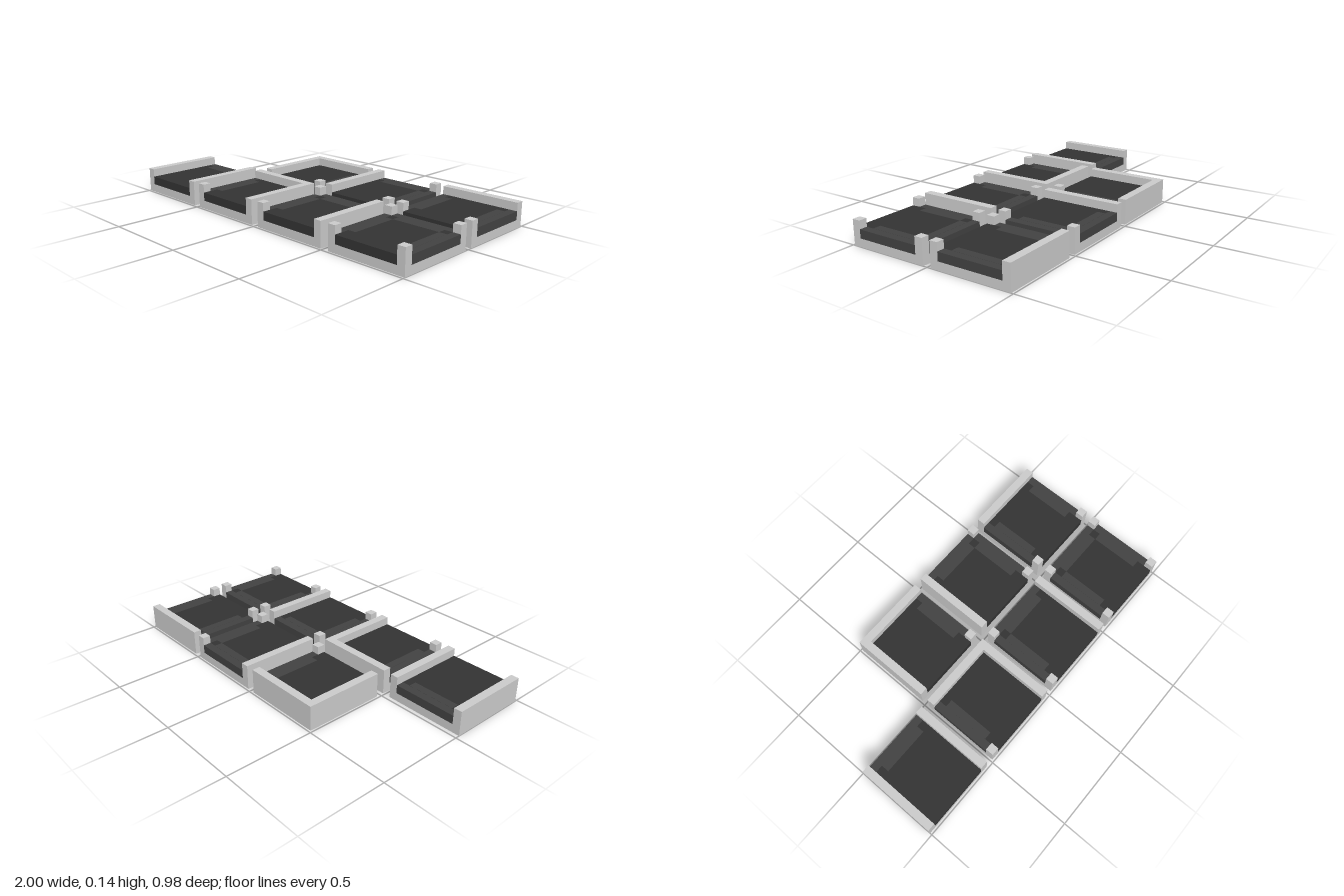
import * as THREE from 'three';

const SIZE = 0.464;        // tile side
const PITCH = 0.512;       // spacing between tile centres
const WALL = 0.046;        // wall thickness
const BASE_H = 0.047;      // grey base height
const FLOOR_H = 0.095;     // top of dark floor
const WALL_H = 0.141;      // top of walls and posts
const INNER = SIZE - 2 * WALL;

const grey = new THREE.MeshStandardMaterial({ color: 0xcccccc, flatShading: true });
const dark = new THREE.MeshStandardMaterial({ color: 0x333333, flatShading: true });
const charcoal = new THREE.MeshStandardMaterial({ color: 0x424242, flatShading: true });

// Box spanning y0..y1, centred on x, z
function addBox(parent, name, w, d, y0, y1, x, z, material) {
  const mesh = new THREE.Mesh(new THREE.BoxGeometry(w, y1 - y0, d), material);
  mesh.name = name;
  mesh.position.set(x, (y0 + y1) / 2, z);
  parent.add(mesh);
}

// Each side points outward; walls is a string of walled sides, the others are open
const SIDES = { L: [-1, 0], R: [1, 0], B: [0, -1], F: [0, 1] };

function createTile(walls) {
  const tile = new THREE.Group();
  tile.name = 'roomTile';
  addBox(tile, 'base', SIZE, SIZE, 0, BASE_H, 0, 0, grey);
  addBox(tile, 'floor', INNER, INNER, BASE_H, FLOOR_H, 0, 0, dark);

  // Corner posts
  const edge = (SIZE - WALL) / 2;
  for (const sx of [-1, 1])
    for (const sz of [-1, 1])
      addBox(tile, 'cornerPost', WALL, WALL, BASE_H, WALL_H, sx * edge, sz * edge, grey);

  for (const [side, [dx, dz]] of Object.entries(SIDES)) {
    // Dimensions of a strip running along this side
    const strip = (name, length, offset, y0, y1, material) =>
      addBox(tile, name, dx ? WALL : length, dx ? length : WALL, y0, y1, dx * offset, dz * offset, material);
    if (walls.includes(side)) {
      strip('wall', INNER, edge, BASE_H, WALL_H, grey);
    } else {
      // Doorway threshold between the posts, with a shorter inlay inside it
      const material = side === 'F' ? dark : charcoal;
      strip('threshold', INNER, edge, BASE_H, FLOOR_H, material);
      if (side !== 'F')
        strip('thresholdInlay', INNER - 2 * WALL, edge - WALL, BASE_H, FLOOR_H + 0.0008, material);
    }
  }
  return tile;
}

export function createModel() {
  const model = new THREE.Group();
  model.name = 'roomTiles';
  // Back row, then front row; null leaves a gap
  const rows = [
    [null, 'LB', 'L', 'B'],
    ['LR', 'RB', 'R', ''],
  ];
  rows.forEach((row, r) => row.forEach((walls, c) => {
    if (walls === null) return;
    const tile = createTile(walls);
    tile.position.set((c - 1.5) * PITCH, 0, (r - 0.5) * PITCH);
    model.add(tile);
  }));
  return model;
}
